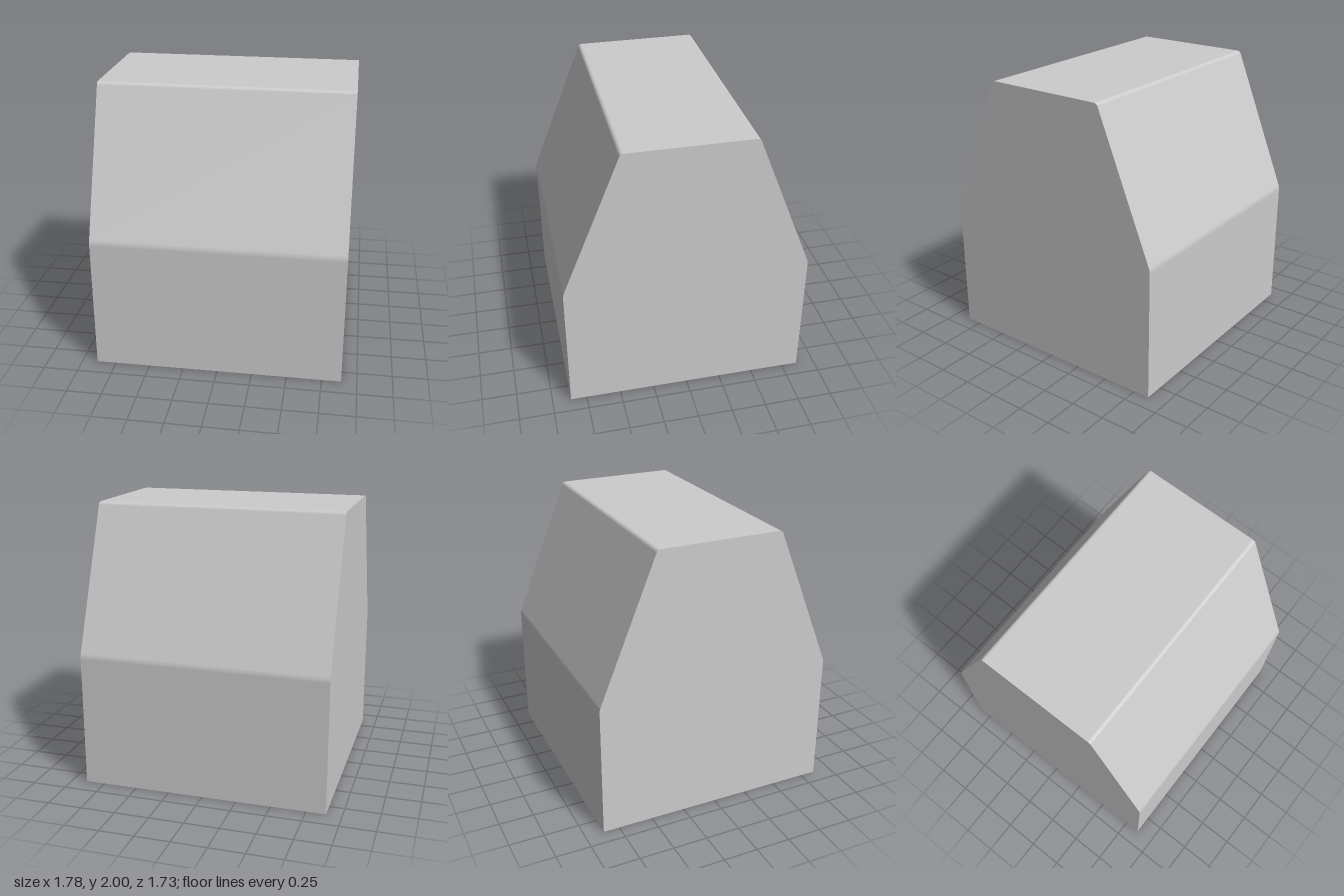
import * as THREE from 'three';

const HALF_WIDTH = 0.89;

// Adds a small fillet to the path at corner p, between neighbours a and b
function fillet(shape, a, p, b, size) {
  const toward = (q) => p.clone().add(q.clone().sub(p).setLength(size));
  const start = toward(a), end = toward(b);
  shape.lineTo(start.x, start.y);
  shape.quadraticCurveTo(p.x, p.y, end.x, end.y);
}

export function createModel() {
  const group = new THREE.Group();
  group.name = 'taperedBlock';

  // Side profile: upright lower walls, sloped upper walls, flat top
  const v = (z, y) => new THREE.Vector2(z, y);
  const corners = [v(-0.866, 0), v(0.866, 0), v(0.866, 0.965), v(0.449, 2), v(-0.449, 2), v(-0.866, 0.965)];
  const profile = new THREE.Shape();
  profile.moveTo(corners[0].x, corners[0].y);
  profile.lineTo(corners[1].x, corners[1].y);
  for (let i = 2; i < 6; i++) {
    fillet(profile, corners[i - 1], corners[i], corners[(i + 1) % 6], 0.022);
  }
  profile.closePath();

  // Extruded across the width, with sharp end faces
  const geometry = new THREE.ExtrudeGeometry(profile, {
    depth: 2 * HALF_WIDTH, bevelEnabled: false, curveSegments: 10,
  });
  geometry.translate(0, 0, -HALF_WIDTH);
  geometry.rotateY(Math.PI / 2);

  const body = new THREE.Mesh(geometry, new THREE.MeshStandardMaterial({ color: 0xcccccc }));
  body.name = 'body';
  group.add(body);
  return group;
}
